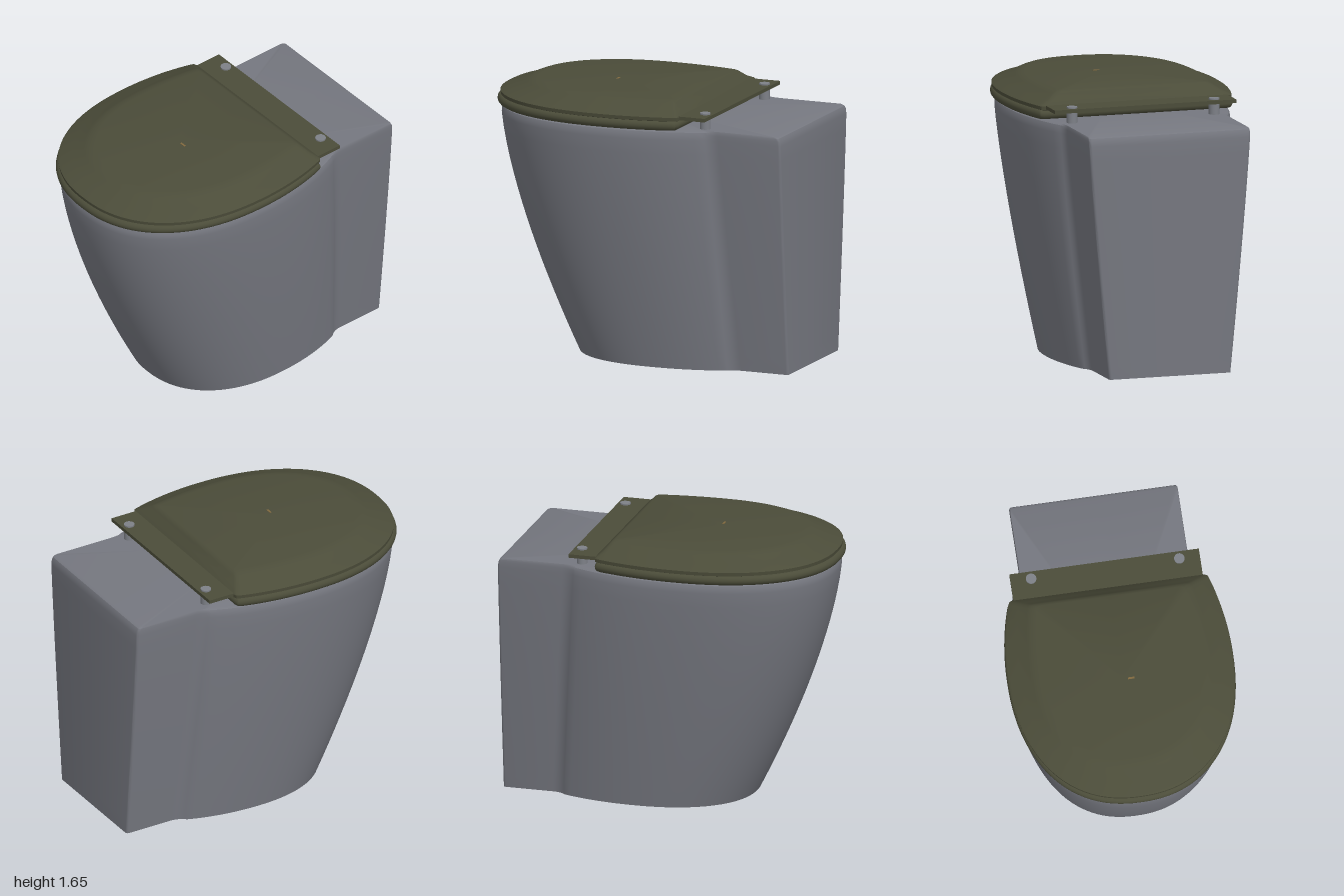
import * as THREE from 'three';
import { toCreasedNormals } from 'three/addons/utils/BufferGeometryUtils.js';

const ceramic = new THREE.MeshStandardMaterial({ name: 'greyCeramic', color: 0x75777f, side: THREE.DoubleSide });
const olive = new THREE.MeshStandardMaterial({ name: 'olivePlastic', color: 0x4b4c39 });
const metal = new THREE.MeshStandardMaterial({ name: 'hingeGrey', color: 0x7d8087 });
const tan = new THREE.MeshStandardMaterial({ name: 'tanMark', color: 0x80693f });

// Skin a stack of equal-length closed rings; collapsed rings close the ends
function loft(rings, crease = 0.6) {
  const pos = [];
  const tri = (a, b, c) => {
    if (a.distanceTo(b) > 1e-6 && b.distanceTo(c) > 1e-6 && c.distanceTo(a) > 1e-6) {
      for (const p of [a, b, c]) pos.push(p.x, p.y, p.z);
    }
  };
  for (let j = 0; j < rings.length - 1; j++) {
    const lo = rings[j], hi = rings[j + 1], n = lo.length;
    for (let k = 0; k < n; k++) {
      const m = (k + 1) % n;
      tri(lo[k], hi[k], hi[m]);
      tri(lo[k], hi[m], lo[m]);
    }
  }
  const g = new THREE.BufferGeometry();
  g.setAttribute('position', new THREE.Float32BufferAttribute(pos, 3));
  return toCreasedNormals(g, crease);
}

// Mirror a half outline, listed from back centre to front centre, into a ring
function mirrorRing(half, y) {
  const right = half.map(([x, z]) => new THREE.Vector3(x, y, z));
  const left = half.slice(1, -1).reverse().map(([x, z]) => new THREE.Vector3(-x, y, z));
  return [...right, ...left];
}

const point = (ring, y, z) => ring.map(() => new THREE.Vector3(0, y, z));

// Egg-shaped side: widest at zm, from the back limit ze round to a full, blunt front tip zf
function eggSide(w, zm, zf, backLen, ze) {
  const pts = [], start = Math.asin((zm - ze) / backLen), power = 2 / 2.25;
  for (let i = 0; i < 12; i++) {
    const a = start * (1 - i / 12);
    pts.push([w * Math.cos(a), zm - backLen * Math.sin(a)]);
  }
  for (let i = 0; i <= 32; i++) {
    const a = (i / 32) * Math.PI / 2;
    pts.push([i === 32 ? 0 : w * Math.cos(a) ** power, zm + (zf - zm) * Math.sin(a) ** power]);
  }
  return pts;
}

// Pedestal outline at height y: box at the back blended into the egg-shaped bowl
function pedestalRing(y, inset = 0) {
  const t = Math.min(y / 1.485, 1);
  const mix = (a, b, e) => a + (b - a) * (1 - (1 - t) ** e);
  const w = mix(0.5, 0.665, 1.3) - inset, zf = mix(0.48, 0.98, 1.5) - inset;
  const wb = mix(0.385, 0.513, 1.15) - inset * 0.2, zj = mix(-0.66, -0.56, 1);
  const zBack = -1 + inset, r = 0.016;
  const half = [[0, zBack]];
  for (let i = 0; i <= 3; i++) {
    const a = (i / 3) * Math.PI / 2;
    half.push([wb - r + r * Math.sin(a), zBack + r - r * Math.cos(a)]);
  }
  const egg = eggSide(w, mix(-0.15, 0.12, 1), zf, mix(0.84, 1.07, 1), zj + 0.06);
  const [ex, ez] = egg[0];
  const fillet = new THREE.QuadraticBezierCurve(
    new THREE.Vector2(wb, zj - 0.03), new THREE.Vector2(wb, zj + 0.02), new THREE.Vector2(ex, ez));
  fillet.getPoints(6).slice(0, -1).forEach(p => half.push([p.x, p.y]));
  return mirrorRing([...half, ...egg], y);
}

// Seat and lid outline: egg with a straight, softly cornered back
function seatRing(w, zf, zb, y) {
  const egg = eggSide(w, 0.13, zf, 1.07, zb + 0.025);
  const xe = egg[0][0];
  return mirrorRing([[0, zb], [xe - 0.03, zb], [xe - 0.008, zb + 0.008], ...egg], y);
}

export function createModel() {
  const model = new THREE.Group();
  const add = (name, geometry, material, x = 0, y = 0, z = 0) => {
    const mesh = new THREE.Mesh(geometry, material);
    mesh.name = name;
    mesh.position.set(x, y, z);
    model.add(mesh);
  };

  // Pedestal, open underneath, with rounded rim and sunken basin
  const body = [];
  for (let i = 0; i <= 16; i++) body.push(pedestalRing(1.43 * i / 16));
  for (const [y, inset] of [[1.46, 0.004], [1.477, 0.012], [1.485, 0.028]]) body.push(pedestalRing(y, inset));
  const rim = body[body.length - 1];
  const basinRing = (y, a, b) => rim.map(p => {
    const angle = Math.atan2(p.x, p.z - 0.25);
    return new THREE.Vector3(a * Math.sin(angle), y, 0.25 + b * Math.cos(angle));
  });
  for (const [y, a, b] of [[1.485, 0.45, 0.56], [1.3, 0.43, 0.52], [1.0, 0.31, 0.37], [0.8, 0.14, 0.17]]) {
    body.push(basinRing(y, a, b));
  }
  body.push(point(rim, 0.78, 0.25));
  add('pedestal', loft(body), ceramic);

  // Seat ring with a rounded outer edge
  const section = [];
  for (let i = 0; i <= 8; i++) {
    const a = -Math.PI / 2 + Math.PI * i / 8;
    section.push([0.03 * (1 - Math.cos(a)), 1.517 + 0.03 * Math.sin(a)]);
  }
  section.push([0.2, 1.547], [0.22, 1.517], [0.2, 1.487], section[0]);
  add('seat', loft(section.map(([i, y]) => seatRing(0.685 - i, 1 - i, -0.365 + i, y))), olive);

  // Domed lid with sloping border and flat top
  const steps = [[0.02, 1.545], [0.009, 1.549], [0.007, 1.57], [0.018, 1.577], [0.08, 1.598],
    [0.14, 1.632], [0.165, 1.643], [0.2, 1.65]];
  const lid = steps.map(([i, y]) => seatRing(0.685 - i, 0.99 - i * 1.2, -0.37 + i * 0.45, y));
  lid.unshift(point(lid[0], 1.545, 0.25));
  lid.push(point(lid[0], 1.65, 0.25));
  add('lid', loft(lid), olive);
  add('lidMark', new THREE.BoxGeometry(0.04, 0.004, 0.012), tan, 0.05, 1.65, 0.255);

  // Hinge plate behind the lid and its two posts
  add('hingePlate', new THREE.BoxGeometry(1.15, 0.022, 0.23), olive, 0, 1.563, -0.418);
  for (const side of [-1, 1]) {
    add(side > 0 ? 'leftHingePost' : 'rightHingePost',
      new THREE.CylinderGeometry(0.032, 0.032, 0.1, 24), metal, side * 0.45, 1.533, -0.485);
  }
  return model;
}
